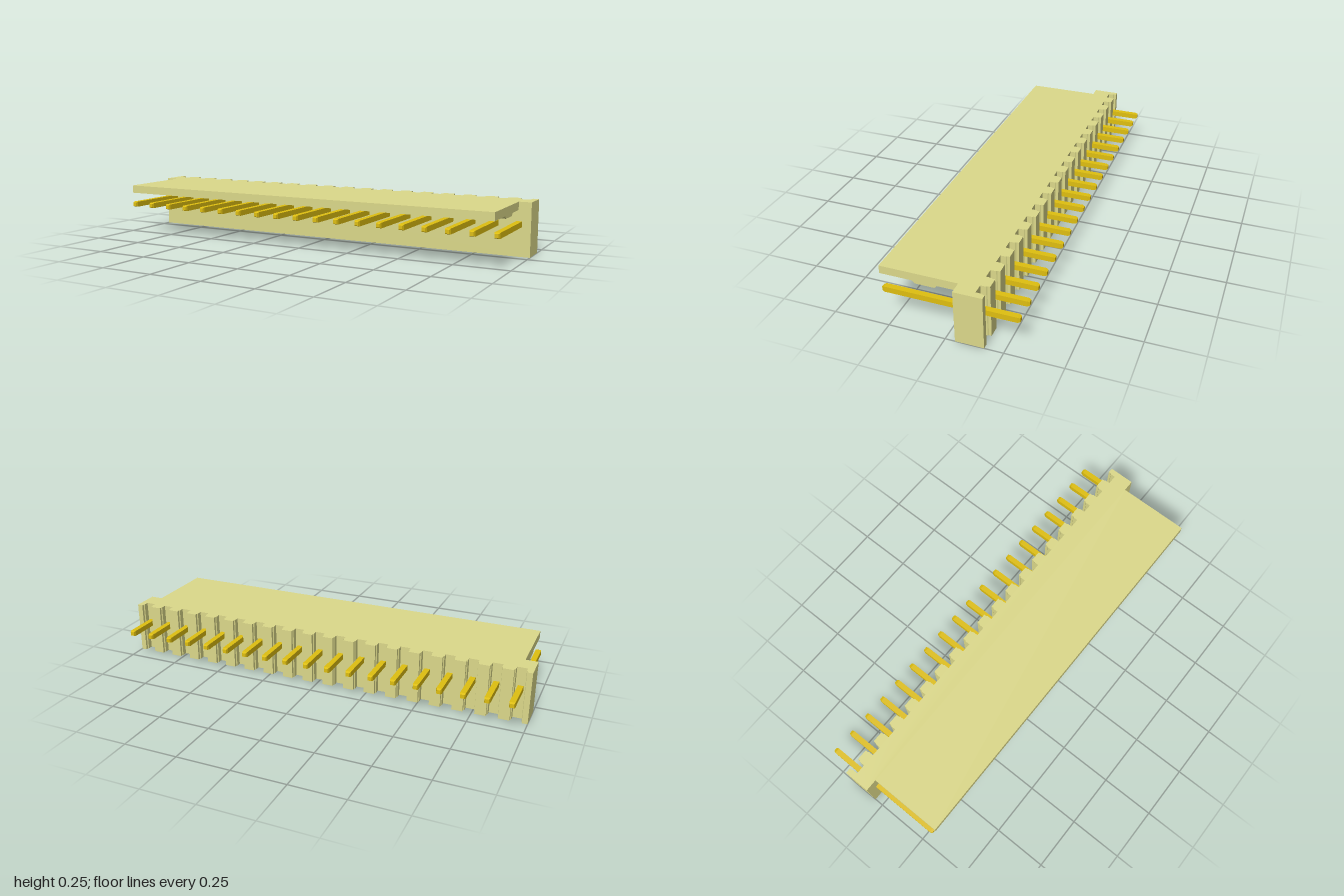
import * as THREE from 'three';

const PINS = 19, PITCH = 0.1053;
const pinX = (i) => (i - (PINS - 1) / 2) * PITCH;

// Shape from [x, y] points
const shapeOf = (pts) => new THREE.Shape(pts.map(([x, y]) => new THREE.Vector2(x, y)));

function extrude(pts, depth) {
  return new THREE.ExtrudeGeometry(shapeOf(pts), { depth, bevelEnabled: false });
}

// Square pin along z with tapered tips, as four-sided rings closed at both ends
function pinGeometry() {
  const rings = [[-0.305, 0.009], [-0.294, 0.0127], [0.279, 0.0127], [0.29, 0.0085]];
  const corners = [[-1, -1], [1, -1], [1, 1], [-1, 1]];
  const pos = [], idx = [];
  rings.forEach(([z, h]) => corners.forEach(([x, y]) => pos.push(x * h, y * h, z)));
  for (let r = 0; r < rings.length - 1; r++) {
    for (let c = 0; c < 4; c++) {
      const a = r * 4 + c, b = r * 4 + (c + 1) % 4;
      idx.push(a, b, b + 4, a, b + 4, a + 4);
    }
  }
  const e = (rings.length - 1) * 4;
  idx.push(0, 2, 1, 0, 3, 2, e, e + 1, e + 2, e, e + 2, e + 3);
  const indexed = new THREE.BufferGeometry();
  indexed.setAttribute('position', new THREE.Float32BufferAttribute(pos, 3));
  indexed.setIndex(idx);
  const geo = indexed.toNonIndexed();
  geo.computeVertexNormals();
  return geo;
}

export function createModel() {
  const model = new THREE.Group();
  model.name = 'pinHeader';
  const plastic = new THREE.MeshStandardMaterial({ color: 0xdcd98a, flatShading: true });
  const gold = new THREE.MeshStandardMaterial({ color: 0xdfbf10, flatShading: true });

  // Upright housing: plan outline with a slot behind every pin (y here is -z)
  const back = 0.168, floor = 0.128, front = 0.043;
  const plan = [[-1, front], [1, front], [1, back]];
  for (let i = PINS - 1; i >= 0; i--) {
    const x = pinX(i);
    plan.push([x + 0.027, back], [x + 0.027, 0.156], [x + 0.023, 0.152], [x + 0.023, floor],
      [x - 0.023, floor], [x - 0.023, 0.152], [x - 0.027, 0.156], [x - 0.027, back]);
  }
  plan.push([-1, back]);
  const housing = new THREE.Mesh(extrude(plan, 0.245).rotateX(-Math.PI / 2), plastic);
  housing.name = 'housing';
  model.add(housing);

  // Overhanging plate with a ridge underneath: side profile (x here is z)
  const profile = [[-0.043, 0.245], [-0.043, 0.208], [0.05, 0.208], [0.062, 0.196],
    [0.148, 0.196], [0.16, 0.208], [0.305, 0.208], [0.305, 0.245]];
  const plateGeo = extrude(profile, 1.886).rotateY(-Math.PI / 2).translate(0.943, 0, 0);
  const plate = new THREE.Mesh(plateGeo, plastic);
  plate.name = 'lockingPlate';
  model.add(plate);

  // Row of pins
  const pins = new THREE.Group();
  pins.name = 'pins';
  const pinGeo = pinGeometry();
  for (let i = 0; i < PINS; i++) {
    const pin = new THREE.Mesh(pinGeo, gold);
    pin.name = `pin${i + 1}`;
    pin.position.set(pinX(i), 0.146, 0);
    pins.add(pin);
  }
  model.add(pins);

  return model;
}
